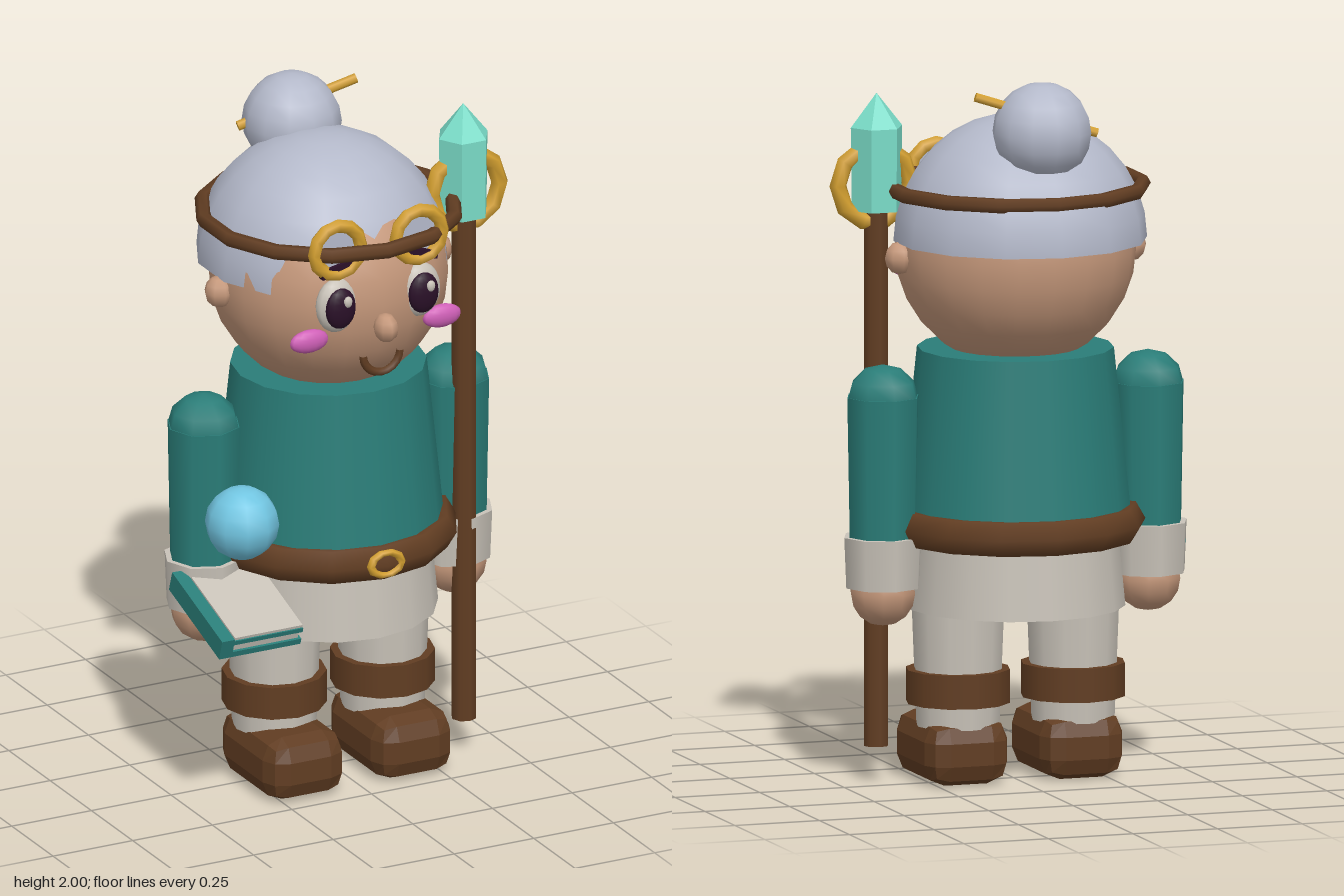
import * as THREE from 'three';
import { RoundedBoxGeometry } from 'three/addons/geometries/RoundedBoxGeometry.js';

const mat = (name, color) => {
  const m = new THREE.MeshStandardMaterial({ color });
  m.name = name;
  return m;
};

export function createModel() {
  const teal = mat('teal cloth', 0x2a7d78), hairGrey = mat('silver hair', 0xb4b9ca);
  const skin = mat('skin', 0xc4977a), cloth = mat('pale cloth', 0xc8c2b8);
  const gold = mat('gold', 0xd4a030), crystal = mat('crystal', 0x7adcc8);
  const blue = mat('orb blue', 0x72c6e2), pink = mat('pink', 0xd060b8);
  const dark = mat('dark plum', 0x2a1028), brown = mat('brown leather', 0x613d22);

  const model = new THREE.Group();
  const figure = new THREE.Group();
  figure.name = 'figure';
  figure.position.x = -0.006;
  model.add(figure);

  const add = (name, geometry, material, x, y, z) => {
    const mesh = new THREE.Mesh(geometry, material);
    mesh.name = name;
    mesh.position.set(x, y, z);
    figure.add(mesh);
    return mesh;
  };
  const ball = (name, material, x, y, z, rx, ry = rx, rz = rx, w = 14, h = 10) =>
    add(name, new THREE.SphereGeometry(1, w, h).scale(rx, ry, rz), material, x, y, z);
  // Cylinder given by its bottom and top heights
  const tube = (name, material, x, z, y0, y1, r0, r1, n = 14) =>
    add(name, new THREE.CylinderGeometry(r1, r0, y1 - y0, n), material, x, (y0 + y1) / 2, z);
  const flat = (geometry) => {
    const g = geometry.index ? geometry.toNonIndexed() : geometry;
    g.computeVertexNormals();
    return g;
  };
  // Horizontal ring with a corner facing the front
  const hoop = (name, material, y, R, r) =>
    add(name, new THREE.TorusGeometry(R, r, 6, 14).rotateX(Math.PI / 2).rotateY(Math.PI / 2), material, 0, y, 0);

  // Torso, belt and tunic hem
  tube('torso', teal, 0, 0, 0.7, 1.22, 0.328, 0.275, 16);
  tube('tunicHem', cloth, 0, 0, 0.49, 0.72, 0.307, 0.285, 16);
  hoop('belt', brown, 0.727, 0.31, 0.055);
  add('buckle', new THREE.TorusGeometry(0.045, 0.013, 6, 10).scale(1.05, 0.75, 1), gold, 0, 0.73, 0.35);

  // Head and hair
  ball('head', skin, 0, 1.5, 0, 0.337, 0.335, 0.337, 20, 14);
  ball('nose', skin, 0, 1.44, 0.348, 0.035, 0.042, 0.042, 8, 6);
  const hair = new THREE.SphereGeometry(0.356, 14, 8, 0, Math.PI * 2, 0, Math.PI / 2);
  add('hairCap', hair.rotateY(Math.PI / 2), hairGrey, 0, 1.53, -0.04);
  add('hairUnderside', new THREE.CircleGeometry(0.356, 14).rotateX(Math.PI / 2).rotateY(Math.PI / 2), hairGrey, 0, 1.53, -0.04);
  ball('hairBun', hairGrey, 0, 1.86, -0.222, 0.14, 0.14, 0.14, 12, 10);
  hoop('headband', brown, 1.675, 0.358, 0.022);

  // Hairpin through the bun
  const pinA = new THREE.Vector3(-0.15, 1.855, -0.26), pinB = new THREE.Vector3(0.185, 1.963, -0.188);
  const pinDir = pinB.clone().sub(pinA);
  const pin = add('hairPin', new THREE.CylinderGeometry(0.014, 0.014, pinDir.length(), 6), gold,
    ...pinA.clone().lerp(pinB, 0.5).toArray());
  pin.quaternion.setFromUnitVectors(new THREE.Vector3(0, 1, 0), pinDir.normalize());

  // Smile
  add('mouth', new THREE.TorusGeometry(0.058, 0.012, 6, 10, Math.PI).rotateZ(Math.PI), brown, 0, 1.356, 0.322);

  for (const s of [-1, 1]) {
    // Face details
    ball('ear', skin, s * 0.342, 1.488, 0, 0.044, 0.046, 0.042, 8, 6);
    ball('eyeWhite', cloth, s * 0.13, 1.515, 0.3, 0.064, 0.08, 0.036);
    ball('pupil', dark, s * 0.13, 1.513, 0.325, 0.047, 0.06, 0.022);
    ball('eyeGlint', cloth, s * 0.13 + 0.014, 1.536, 0.343, 0.014, 0.017, 0.009, 8, 6);
    ball('cheek', pink, s * 0.208, 1.415, 0.285, 0.06, 0.034, 0.022);
    const brow = add('brow', new THREE.BoxGeometry(0.11, 0.026, 0.024), dark, s * 0.128, 1.625, 0.302);
    brow.rotation.z = -s * 0.2;

    // Spectacles pushed up on the forehead
    add('spectacleRim', new THREE.TorusGeometry(0.073, 0.02, 6, 12), gold, s * 0.128, 1.68, 0.303);
    add('spectacleLens', new THREE.CylinderGeometry(0.07, 0.07, 0.008, 12).rotateX(Math.PI / 2), hairGrey, s * 0.128, 1.68, 0.298);

    // Arm
    tube('sleeve', teal, s * 0.392, 0, 0.66, 1.1, 0.097, 0.105, 8);
    ball('shoulder', teal, s * 0.392, 1.09, 0, 0.105, 0.1, 0.105, 8, 6);
    tube('cuff', cloth, s * 0.392, 0, 0.562, 0.705, 0.108, 0.114, 8);
    ball('hand', skin, s * 0.392, 0.546, 0, 0.094, 0.094, 0.094, 10, 8);

    // Leg
    tube('leg', cloth, s * 0.17, 0, 0.16, 0.52, 0.118, 0.132, 12);
    tube('legWrap', brown, s * 0.17, 0, 0.225, 0.32, 0.147, 0.147, 12);
    add('shoe', flat(new RoundedBoxGeometry(0.245, 0.185, 0.35, 1, 0.06)), brown, s * 0.17, 0.0925, 0.05);
  }

  // Staff with crystal head
  tube('staff', brown, 0.384, 0.08, 0.1, 1.63, 0.036, 0.036, 8);
  const gem = (y0, y1, r0, r1) => {
    const g = new THREE.CylinderGeometry(r1, r0, y1 - y0, 6).rotateY(Math.PI / 6);
    add('crystal', flat(g), crystal, 0.384, (y0 + y1) / 2, 0.076);
  };
  gem(1.615, 1.85, 0.073, 0.076);
  gem(1.85, 1.945, 0.076, 0);
  add('staffRing', new THREE.TorusGeometry(0.107, 0.025, 6, 10), gold, 0.391, 1.688, 0.076);

  // Tilted book held below a floating orb
  const book = new THREE.Group();
  book.name = 'book';
  book.position.set(-0.386, 0.612, 0.188);
  book.rotation.x = 0.32;
  figure.add(book);
  const slab = (name, material, w, h, d, x, y) => {
    const mesh = new THREE.Mesh(new THREE.BoxGeometry(w, h, d), material);
    mesh.name = name;
    mesh.position.set(x, y, 0);
    book.add(mesh);
  };
  slab('bookCover', teal, 0.255, 0.018, 0.32, 0, -0.024);
  slab('bookSpine', teal, 0.04, 0.058, 0.32, -0.108, 0);
  slab('bookPages', cloth, 0.21, 0.03, 0.305, 0.015, -0.003);
  slab('bookFrontCover', teal, 0.255, 0.014, 0.32, 0, 0.016);
  slab('openPage', cloth, 0.212, 0.009, 0.312, 0.02, 0.027);
  ball('orb', blue, -0.386, 0.88, 0.222, 0.105, 0.105, 0.105, 10, 8);

  return model;
}
